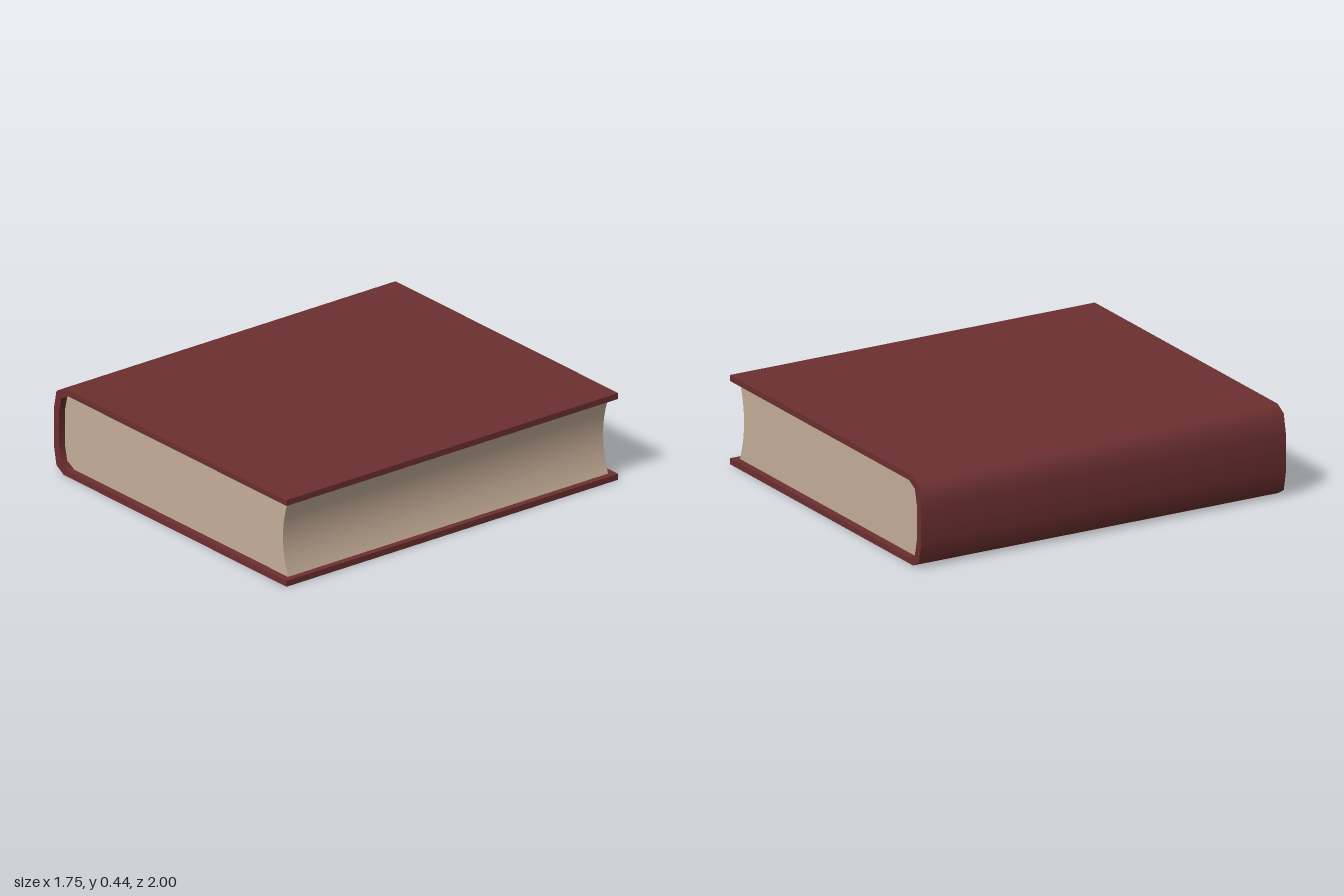
import * as THREE from 'three';
import { toCreasedNormals } from 'three/addons/utils/BufferGeometryUtils.js';

const H = 0.445;      // total thickness of the closed book
const BOARD = 0.03;   // cover board thickness

// Lower half of a spine profile, mirrored to the upper half (ordered bottom to top)
const mirrored = (half) => [...half, ...half.map(([x, y]) => [x, H - y]).reverse()];

// Extrude an outline along z, centred, with smooth curves and sharp corners
function slab(points, depth, material, name) {
  const shape = new THREE.Shape(points.map(([x, y]) => new THREE.Vector2(x, y)));
  const geometry = new THREE.ExtrudeGeometry(shape, { depth, bevelEnabled: false });
  geometry.translate(0, 0, -depth / 2);
  const mesh = new THREE.Mesh(toCreasedNormals(geometry, 0.96), material);
  mesh.name = name;
  return mesh;
}

export function createModel() {
  const leather = new THREE.MeshStandardMaterial({ color: 0x6c2f30 });
  leather.name = 'coverRed';
  const paper = new THREE.MeshStandardMaterial({ color: 0xc6ae98 });
  paper.name = 'pageCream';

  const outer = mirrored([[0.875, 0], [-0.78, 0], [-0.8, 0], [-0.855, 0.032], [-0.875, 0.132]]);
  const inner = mirrored([[0.875, BOARD], [-0.74, BOARD], [-0.763, BOARD], [-0.817, 0.057], [-0.835, 0.135]]);

  const book = new THREE.Group();
  book.name = 'book';

  // Wraparound cover: two boards joined by a rounded spine
  book.add(slab([...outer, ...inner.slice().reverse()], 2, leather, 'cover'));

  // Page block: rounded at the spine, hollowed along the fore edge
  const foreEdge = [];
  for (let i = 0; i <= 16; i++) {
    const t = i / 8 - 1;
    foreEdge.push([0.805 + 0.038 * t * t, H / 2 - t * (H / 2 - BOARD)]);
  }
  book.add(slab([...inner.slice(1, -1), ...foreEdge], 1.93, paper, 'pages'));

  return book;
}
